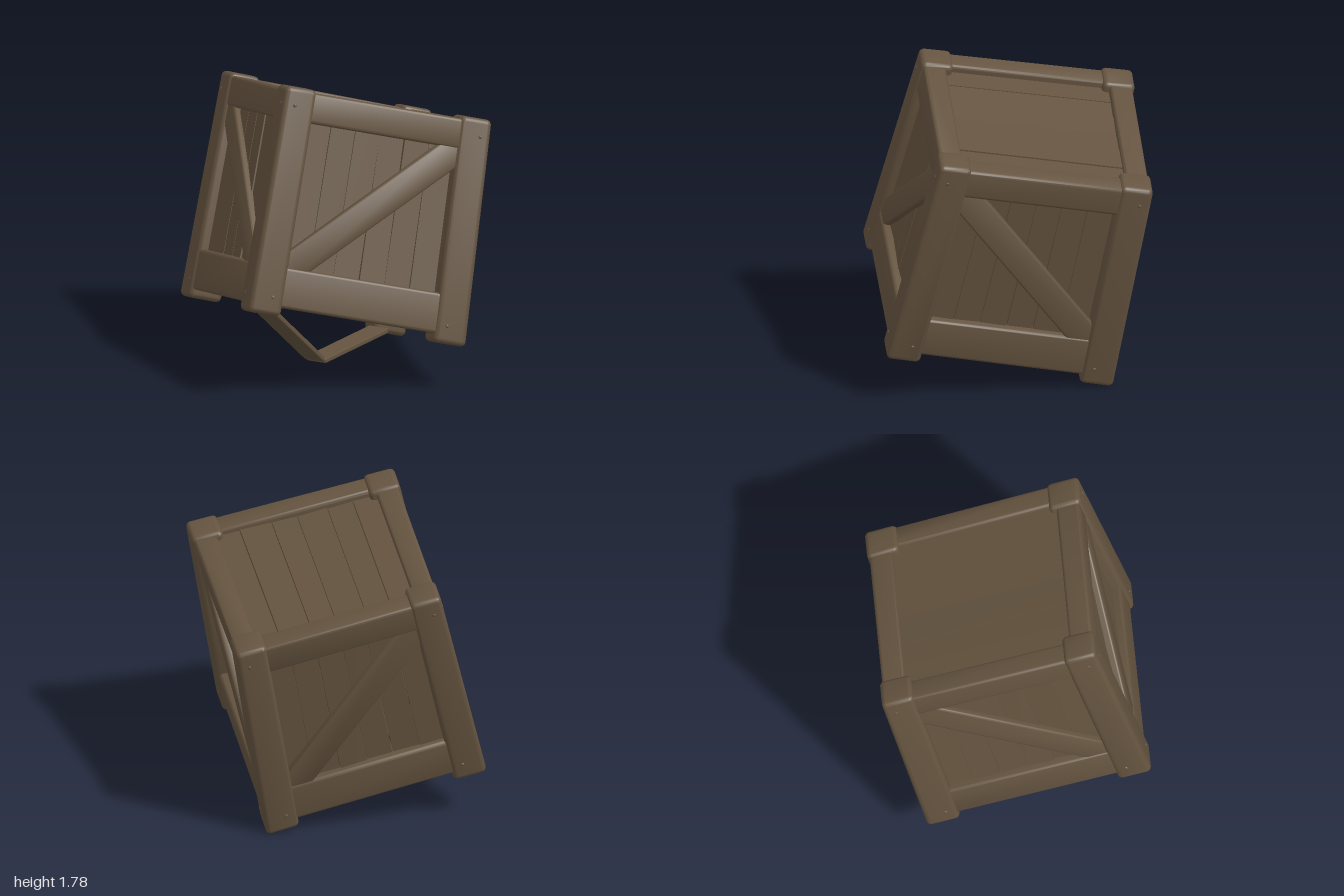
import * as THREE from 'three';
import { mergeVertices, toCreasedNormals } from 'three/addons/utils/BufferGeometryUtils.js';
import { RoundedBoxGeometry } from 'three/addons/geometries/RoundedBoxGeometry.js';

const H = 0.64; // half size of the straight crate before it is tilted
const V = (x, y, z) => new THREE.Vector3(x, y, z);

// Corners of the tilted, slightly tapered crate, as [bottom, top]
const FRONT = [V(0.07, 0.56, 0.99), V(0.055, 1.77, 0.585)];
const LEFT = [V(-0.925, 0.32, 0.2), V(-0.89, 1.54, -0.17)];
const RIGHT = [V(0.925, 0.28, 0.1), V(0.87, 1.5, -0.25)];
const BACK = [V(-0.08, 0.01, -0.70), V(-0.09, 1.25, -0.99)];

// Maps a point of the straight crate into the tilted one
function warp(p) {
  const u = (p.x / H + 1) / 2, v = (p.y / H + 1) / 2, w = (p.z / H + 1) / 2;
  const at = (c) => c[0].clone().lerp(c[1], v);
  return at(BACK).lerp(at(RIGHT), u).lerp(at(LEFT).lerp(at(FRONT), u), w);
}

function warpGeometry(source) {
  source.deleteAttribute('uv');
  source.deleteAttribute('normal');
  const g = mergeVertices(source, 1e-5);
  const pos = g.attributes.position;
  const p = new THREE.Vector3();
  for (let i = 0; i < pos.count; i++) {
    const q = warp(p.fromBufferAttribute(pos, i));
    pos.setXYZ(i, q.x, q.y, q.z);
  }
  return toCreasedNormals(g, 0.8);
}

let seed = 7;
function jitter(amount) {
  seed = (seed * 16807) % 2147483647;
  return (seed / 2147483647 - 0.5) * 2 * amount;
}

export function createModel() {
  const crate = new THREE.Group();
  crate.name = 'crate';
  const wood = new THREE.MeshStandardMaterial({ color: 0x64533f });
  wood.name = 'brown wood';

  const add = (name, geometry) => {
    const mesh = new THREE.Mesh(geometry, wood);
    mesh.name = name;
    crate.add(mesh);
    return mesh;
  };
  const beam = (w, h, d, r = 0.02) => new RoundedBoxGeometry(w, h, d, 3, r);

  // Corner posts with nail heads at both ends
  const postWidth = 0.195, face = 0.656, postAt = face - postWidth / 2;
  for (const sx of [-1, 1]) for (const sz of [-1, 1]) {
    add('cornerPost', warpGeometry(
      beam(postWidth, 1.31, postWidth, 0.03).translate(sx * postAt, 0, sz * postAt)));
    for (const y of [-0.55, 0.55]) for (const side of [0, 1]) {
      const nail = new THREE.SphereGeometry(0.011, 8, 6);
      const across = postAt + (y > 0 ? 0.03 : -0.03);
      if (side) nail.scale(1, 1, 0.5).translate(sx * across, y, sz * face);
      else nail.scale(0.5, 1, 1).translate(sx * face, y, sz * across);
      add('nailHead', warpGeometry(nail));
    }
  }

  // Four sides; x runs along the side, z points outward.
  // lean: direction of the brace, planks: where the boarding starts and ends
  const sides = [
    { name: 'frontLeft', turn: 0, lean: -1, planks: [-0.48, 0.48] },
    { name: 'frontRight', turn: Math.PI / 2, lean: 1, planks: [-0.48, 0.45] },
    { name: 'backRight', turn: Math.PI, lean: -1, planks: [-0.48, 0.45] },
    { name: 'backLeft', turn: -Math.PI / 2, lean: 1, planks: [-0.48, 0.48] },
  ];
  for (const s of sides) {
    const put = (part, g) => add(s.name + part, warpGeometry(g.rotateY(s.turn)));

    // Top and bottom rails
    put('TopRail', beam(1.05, 0.175, 0.14).translate(0, 0.55, 0.573));
    put('BottomRail', beam(1.05, 0.235, 0.14).translate(0, -0.487, 0.573));

    // Diagonal brace, its ends tucked into the frame corners
    const brace = beam(1.33, 0.17, 0.06, 0.015);
    brace.rotateZ(s.lean * Math.atan2(0.85, 0.93)).translate(0, 0.035, 0.606);
    put('Brace', brace);

    // Upright planks, uneven in width, depth and lean
    const [a, b] = s.planks, n = 6, step = (b - a) / n;
    for (let i = 0; i < n; i++) {
      const plank = new THREE.BoxGeometry(step - 0.005 + jitter(0.003), 0.98, 0.03);
      plank.rotateY(jitter(0.05)).rotateZ(jitter(0.006));
      put('Plank', plank.translate(a + step * (i + 0.5), 0, 0.582 + jitter(0.006)));
    }
  }

  // Lid and floor planks
  for (const [name, y, widths] of [
    ['lidPlank', 0.585, [0.17, 0.2, 0.16, 0.19, 0.16, 0.17]],
    ['floorPlank', -0.565, [0.18, 0.16, 0.2, 0.17, 0.18, 0.16]],
  ]) {
    let z = -0.525;
    for (const w of widths) {
      const plank = new THREE.BoxGeometry(1.05, 0.03, w - 0.005);
      plank.rotateX(jitter(0.04)).translate(0, y + jitter(0.006), z + w / 2);
      add(name, warpGeometry(plank));
      z += w;
    }
  }

  // Snapped board hanging below the floor, in two halves
  const hangingBoard = (from, to) => {
    const board = add('hangingBoard', beam(0.13, 0.03, from.distanceTo(to), 0.008));
    board.position.copy(from).lerp(to, 0.5);
    board.lookAt(to);
  };
  hangingBoard(V(0.04, 0.53, 0.83), V(0, 0.085, 0.23));
  hangingBoard(V(0, 0.075, 0.22), V(-0.03, 0.09, -0.47));

  return crate;
}
